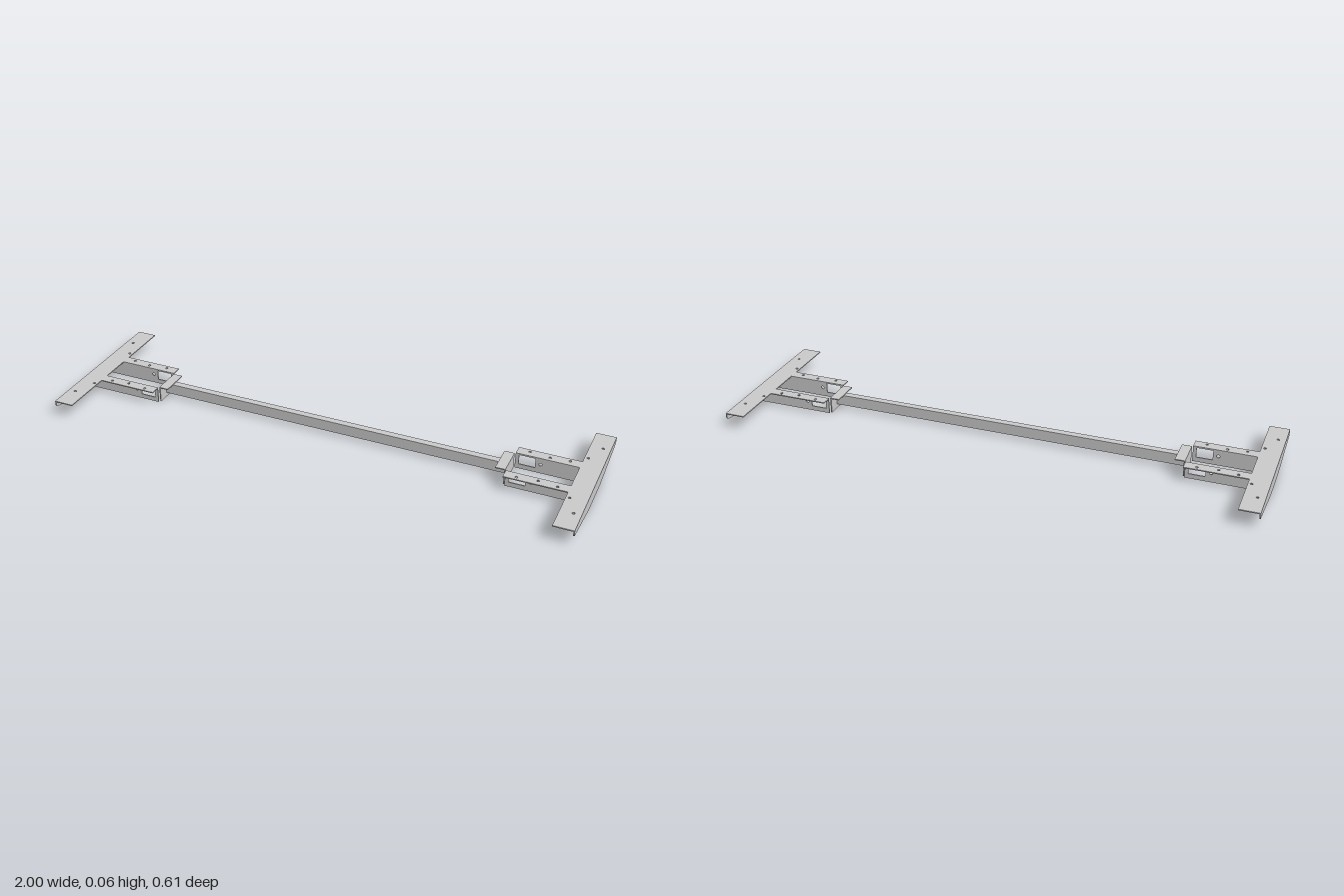
import * as THREE from 'three';

const T = 0.004;      // sheet thickness
const TOP = 0.062;    // overall height
const mat = new THREE.MeshStandardMaterial({ color: 0xcccccc, flatShading: true });

function add(group, name, geometry, x = 0, y = 0, z = 0) {
  const mesh = new THREE.Mesh(geometry, mat);
  mesh.name = name;
  mesh.position.set(x, y, z);
  group.add(mesh);
  return mesh;
}

function rect(x0, y0, x1, y1) {
  return new THREE.Shape([[x0, y0], [x1, y0], [x1, y1], [x0, y1]].map(p => new THREE.Vector2(...p)));
}

// Sheet cut from a shape, with small round bolt holes
function sheet(shape, holes = [], radius = 0.005) {
  for (const [x, y] of holes) {
    shape.holes.push(new THREE.Path().absarc(x, y, radius, 0, Math.PI * 2, true));
  }
  return new THREE.ExtrudeGeometry(shape, { depth: T, bevelEnabled: false, curveSegments: 8 });
}

// Horizontal sheet in x/z whose upper face lies at y = top
function flatSheet(x0, z0, x1, z1, holes, top) {
  return sheet(rect(x0, z0, x1, z1), holes).rotateX(Math.PI / 2).translate(0, top, 0);
}

// Tapered upright with rounded lower corners
function endPlateShape() {
  const s = new THREE.Shape();
  s.moveTo(-0.075, 0);
  s.lineTo(0.075, 0);
  s.lineTo(0.292, 0.035);
  s.quadraticCurveTo(0.304, 0.037, 0.304, 0.05);
  s.lineTo(0.304, TOP);
  s.lineTo(-0.304, TOP);
  s.lineTo(-0.304, 0.05);
  s.quadraticCurveTo(-0.304, 0.037, -0.292, 0.035);
  return s;
}

function createEnd() {
  const end = new THREE.Group();

  // Cross angle: tapered outer plate and inward top flange
  add(end, 'endPlate', sheet(endPlateShape()).rotateY(Math.PI / 2), 1 - T);
  add(end, 'endFlange', flatSheet(0.925, -0.304, 1 - T, 0.304,
    [[0.972, -0.21], [0.972, 0.21], [0.938, -0.13], [0.938, 0.13]], TOP));

  // Pair of angle arms: windowed web at the inside, flange turned outward
  for (const side of [1, -1]) {
    const arm = new THREE.Group();
    arm.name = side > 0 ? 'frontArm' : 'rearArm';
    const web = rect(0.695, 0, 1 - T, TOP - T);
    const w = new THREE.Path();
    w.moveTo(0.708, 0.018);
    w.lineTo(0.708, 0.056);
    w.lineTo(0.768, 0.056);
    w.lineTo(0.768, 0.018);
    w.closePath();
    web.holes.push(w);
    add(arm, 'armWeb', sheet(web, [[0.787, 0.036], [0.968, 0.036]], 0.006), 0, 0, side * 0.062 - T / 2);
    const [z0, z1] = side > 0 ? [0.06, 0.1] : [-0.1, -0.06];
    add(arm, 'armFlange', flatSheet(0.695, z0, 0.925, z1,
      [[0.74, side * 0.085], [0.815, side * 0.077], [0.885, side * 0.085]], TOP));
    end.add(arm);
  }

  // Angle bracket joining the beam to the arms
  add(end, 'beamBracketPlate', new THREE.BoxGeometry(T, TOP - T, 0.112), 0.69, (TOP - T) / 2, 0);
  add(end, 'beamBracketFlange', flatSheet(0.655, -0.056, 0.692, 0.056, [], TOP));
  return end;
}

export function createModel() {
  const model = new THREE.Group();
  model.name = 'spreaderFrame';

  // Long central beam
  add(model, 'beam', new THREE.BoxGeometry(1.376, 0.042, 0.026), 0, 0.037, 0);

  // Matching ends, the second turned half round
  const left = createEnd();
  left.name = 'leftEnd';
  const right = createEnd();
  right.name = 'rightEnd';
  right.rotation.y = Math.PI;
  model.add(left, right);
  return model;
}
